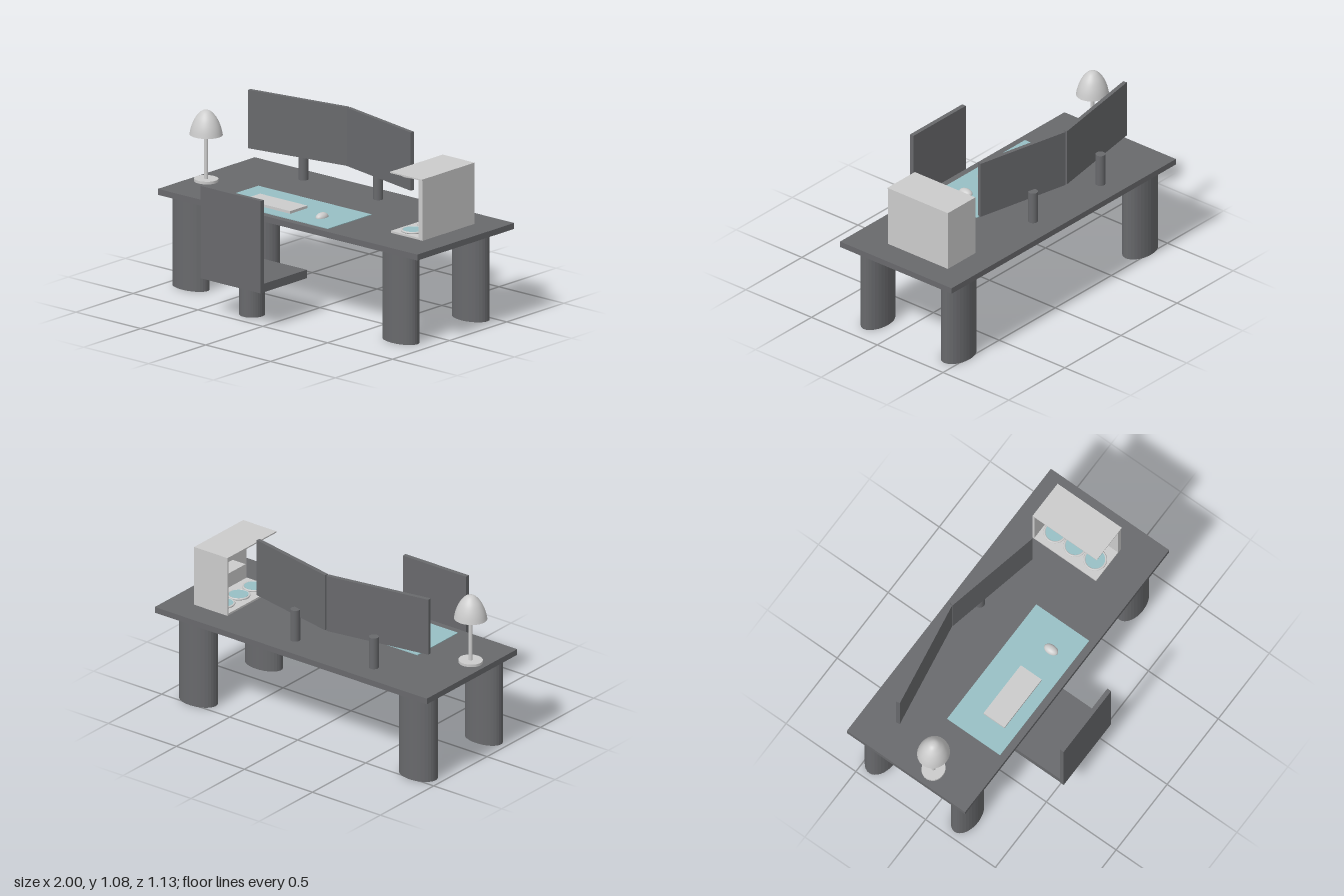
import * as THREE from 'three';

const dark = new THREE.MeshStandardMaterial({ color: 0x68696c });
const facetedDark = new THREE.MeshStandardMaterial({ color: 0x68696c, flatShading: true });
const grey = new THREE.MeshStandardMaterial({ color: 0xcccccc });
const greyOpen = new THREE.MeshStandardMaterial({ color: 0xcccccc, side: THREE.DoubleSide });
const teal = new THREE.MeshStandardMaterial({ color: 0x97bfc4 });

function add(parent, name, geometry, material, x = 0, y = 0, z = 0) {
  const mesh = new THREE.Mesh(geometry, material);
  mesh.name = name;
  mesh.position.set(x, y, z);
  parent.add(mesh);
  return mesh;
}

// Box given by its lower and upper limits on each axis
function box(parent, name, material, [x0, x1], [y0, y1], [z0, z1]) {
  return add(parent, name, new THREE.BoxGeometry(x1 - x0, y1 - y0, z1 - z0), material,
    (x0 + x1) / 2, (y0 + y1) / 2, (z0 + z1) / 2);
}

// Upright cylinder, optionally elliptical
function post(parent, name, material, x, z, y0, y1, rx, rz = rx) {
  const geometry = new THREE.CylinderGeometry(1, 1, y1 - y0, 32).scale(rx, 1, rz);
  return add(parent, name, geometry, material, x, (y0 + y1) / 2, z);
}

function group(parent, name) {
  const g = new THREE.Group();
  g.name = name;
  parent.add(g);
  return g;
}

// Case fan: grey ring with teal blades disc, axis along y
function fan(parent, name, r) {
  const g = group(parent, name);
  const ring = add(g, 'fanRing', new THREE.TorusGeometry(r * 0.92, r * 0.1, 8, 32), grey);
  ring.rotation.x = Math.PI / 2;
  add(g, 'fanDisc', new THREE.CylinderGeometry(r * 0.85, r * 0.85, 0.01, 32), teal);
  return g;
}

export function createModel() {
  const model = new THREE.Group();
  const top = 0.583;

  // Desk with oval legs
  const desk = group(model, 'desk');
  box(desk, 'deskTop', dark, [-1, 1], [0.547, top], [-0.565, 0.283]);
  for (const x of [-0.835, 0.782]) {
    post(desk, 'frontLeg', facetedDark, x, 0.18, 0, 0.547, 0.127, 0.075);
    post(desk, 'backLeg', facetedDark, x, -0.433, 0, 0.547, 0.127, 0.083);
  }

  // Chair
  const chair = group(model, 'chair');
  box(chair, 'chairBack', dark, [-0.422, 0.043], [0.222, 0.78], [0.54, 0.567]);
  box(chair, 'seat', dark, [-0.42, 0.04], [0.222, 0.273], [0.16, 0.54]);
  post(chair, 'chairPedestal', facetedDark, -0.21, 0.355, 0, 0.222, 0.075);

  // Two angled screens on posts, each given by its end points
  const screens = [
    { a: [-0.83, -0.323], b: [-0.166, -0.434], stand: [-0.497, -0.42] },
    { a: [-0.158, -0.432], b: [0.445, -0.303], stand: [0.09, -0.408] },
  ];
  for (const { a, b, stand } of screens) {
    const monitor = group(model, 'monitor');
    const dx = b[0] - a[0], dz = b[1] - a[1];
    const panel = add(monitor, 'screen', new THREE.BoxGeometry(Math.hypot(dx, dz), 0.352, 0.025), dark,
      (a[0] + b[0]) / 2, 0.905, (a[1] + b[1]) / 2);
    panel.rotation.y = -Math.atan2(dz, dx);
    post(monitor, 'monitorStand', dark, stand[0], stand[1], top, 0.78, 0.029);
  }

  // Mat, keyboard and mouse
  box(model, 'deskMat', teal, [-0.598, 0.275], [top, 0.587], [-0.14, 0.24]);
  box(model, 'keyboard', grey, [-0.45, -0.085], [0.587, 0.603], [0.013, 0.163]);
  const mouse = new THREE.SphereGeometry(1, 32, 12, 0, Math.PI * 2, 0, Math.PI / 2).scale(0.03, 0.027, 0.046);
  add(model, 'mouse', mouse, greyOpen, 0.1, 0.589, 0.095);

  // Lamp
  const lamp = group(model, 'lamp');
  lamp.position.set(-0.895, top, -0.02);
  lamp.scale.z = 0.93;
  post(lamp, 'lampBase', grey, 0, 0, 0, 0.016, 0.073);
  post(lamp, 'lampPole', grey, 0, 0, 0.016, 0.4, 0.0125);
  const profile = new THREE.SplineCurve([
    [0.1, 0.282], [0.092, 0.318], [0.08, 0.352], [0.062, 0.386], [0.037, 0.415], [0.018, 0.427], [0, 0.43],
  ].map(([r, y]) => new THREE.Vector2(r, y))).getPoints(24);
  profile[profile.length - 1].x = 0;
  add(lamp, 'lampShade', new THREE.LatheGeometry(profile, 40), greyOpen);

  // Computer case, open at the front and on its right side
  const pc = group(model, 'computerCase');
  box(pc, 'caseFloor', grey, [0.595, 0.84], [top, 0.595], [-0.4, 0.055]);
  box(pc, 'caseRoof', grey, [0.595, 0.84], [0.945, 0.953], [-0.4, 0.06]);
  box(pc, 'caseWall', grey, [0.81, 0.84], [0.595, 0.945], [-0.4, 0.055]);
  box(pc, 'caseBack', grey, [0.595, 0.81], [0.595, 0.945], [-0.4, -0.388]);

  // Fans on floor, roof and back
  for (const z of [-0.31, -0.167, -0.024]) {
    fan(pc, 'floorFan', 0.068).position.set(0.695, 0.602, z);
    fan(pc, 'roofFan', 0.068).position.set(0.695, 0.938, z);
  }
  const backFan = fan(pc, 'backFan', 0.052);
  backFan.position.set(0.69, 0.85, -0.381);
  backFan.rotation.x = Math.PI / 2;

  // Circuit board with parts
  box(pc, 'mainBoard', grey, [0.8, 0.81], [0.63, 0.93], [-0.36, -0.06]);
  box(pc, 'graphicsCard', grey, [0.705, 0.8], [0.722, 0.766], [-0.37, -0.09]);
  box(pc, 'processorCooler', grey, [0.765, 0.8], [0.83, 0.91], [-0.27, -0.19]);
  for (const z of [-0.16, -0.135, -0.11]) {
    box(pc, 'memoryStick', grey, [0.78, 0.8], [0.815, 0.925], [z, z + 0.01]);
  }
  for (const y of [0.65, 0.69]) {
    box(pc, 'expansionSlot', grey, [0.792, 0.8], [y, y + 0.012], [-0.34, -0.14]);
  }
  return model;
}
